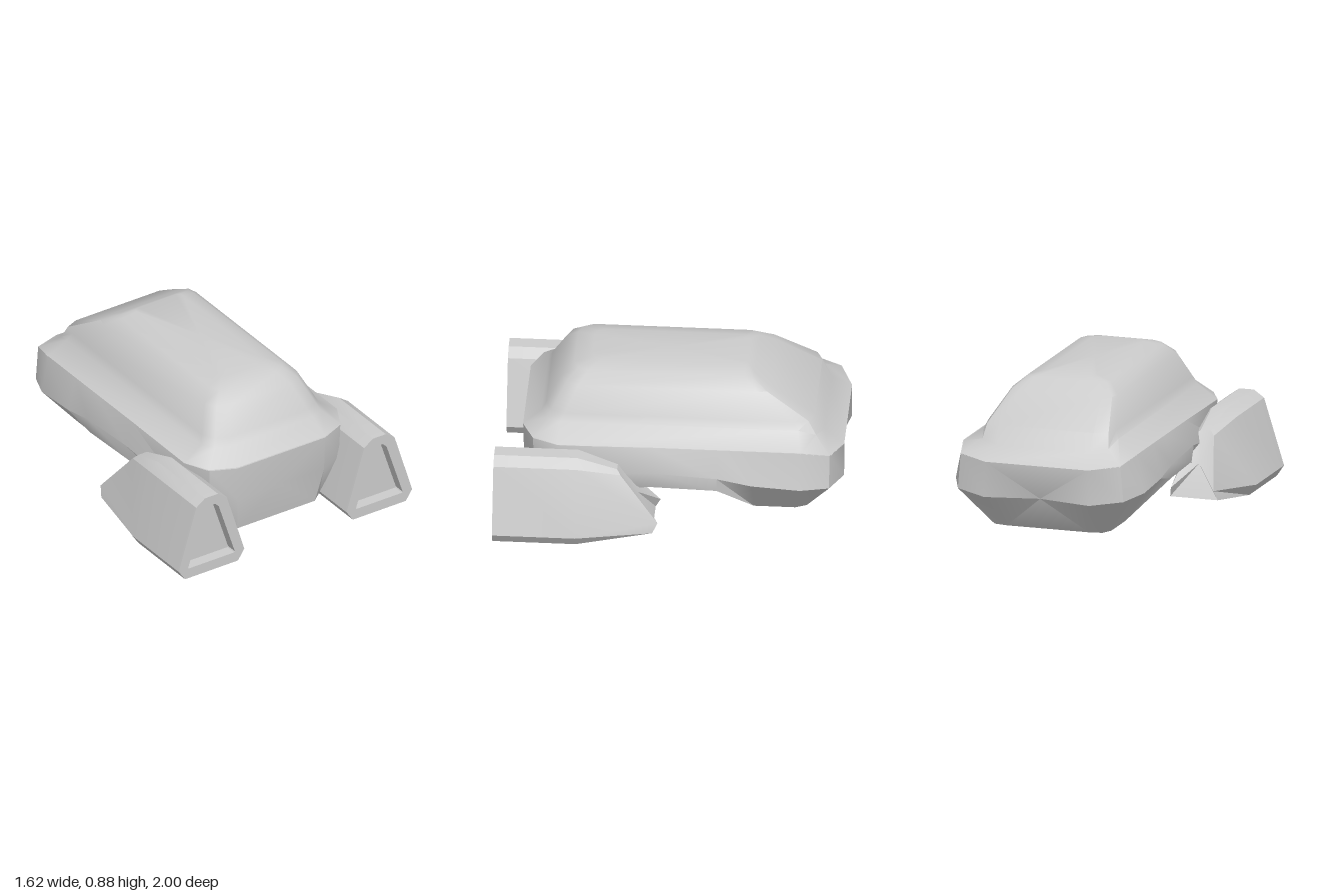
import * as THREE from 'three';
import { toCreasedNormals } from 'three/addons/utils/BufferGeometryUtils.js';

// Skin a row of equal-length closed sections ([x, y, z] points) and cap both ends.
function loft(sections, crease = 0.6) {
  const n = sections[0].length;
  const pos = sections.flat(2);
  const index = [];
  for (let s = 0; s < sections.length - 1; s++) {
    for (let i = 0; i < n; i++) {
      const a = s * n + i, b = s * n + (i + 1) % n;
      index.push(a, b, b + n, a, b + n, a + n);
    }
  }
  [0, sections.length - 1].forEach((s, end) => {
    const mid = [0, 1, 2].map(k => sections[s].reduce((t, p) => t + p[k], 0) / n);
    const c = pos.length / 3;
    pos.push(...mid);
    for (let i = 0; i < n; i++) {
      const a = s * n + i, b = s * n + (i + 1) % n;
      if (end) index.push(a, b, c); else index.push(b, a, c);
    }
  });
  // turn the faces outward
  const v = i => new THREE.Vector3().fromArray(pos, i * 3);
  let volume = 0;
  for (let t = 0; t < index.length; t += 3) {
    volume += v(index[t]).dot(v(index[t + 1]).cross(v(index[t + 2])));
  }
  if (volume < 0) index.reverse();
  const g = new THREE.BufferGeometry();
  g.setAttribute('position', new THREE.Float32BufferAttribute(pos, 3));
  g.setIndex(index);
  return toCreasedNormals(g, crease);
}

// Close a half outline by mirroring it in x.
const mirror = half => [...half, ...half.map(([x, y, z]) => [-x, y, z]).reverse()];

// Horizontal rounded-corner outline: half width, front z, back z, corner sizes, heights.
function ring(x, zf, zb, cf, cb, y, yb = y) {
  return mirror([
    [x - cf, y, zf], [x - cf * 0.33, y, zf - cf * 0.3], [x, y, zf - cf * 0.95],
    [x, y, zb + cb * 1.1], [x - cb * 0.2, (y + 2 * yb) / 3, zb + cb * 0.33], [x - cb, yb, zb],
  ]);
}

export function createModel() {
  const group = new THREE.Group();
  const material = new THREE.MeshStandardMaterial({ color: 0xcccccc });
  const add = (name, geometry) => {
    const mesh = new THREE.Mesh(geometry, material);
    mesh.name = name;
    group.add(mesh);
  };

  // Lower hull, front to back: rim, bulge and bottom point of each half section
  const hull = [
    [[0.305, 0.515, 0.855], [0.3, 0.3, 0.85], [0.27, 0.07, 0.8]],
    [[0.455, 0.515, 0.788], [0.45, 0.3, 0.78], [0.34, 0.07, 0.74]],
    [[0.53, 0.52, 0.64], [0.525, 0.3, 0.63], [0.37, 0.07, 0.62]],
    [[0.53, 0.525, 0.1], [0.575, 0.38, 0.1], [0.555, 0.275, 0.12]],
    [[0.53, 0.525, -0.28], [0.578, 0.36, -0.28], [0.57, 0.275, -0.28]],
    [[0.53, 0.525, -0.48], [0.578, 0.32, -0.48], [0.36, 0.05, -0.48]],
    [[0.53, 0.525, -0.76], [0.575, 0.3, -0.76], [0.36, 0.05, -0.72]],
    [[0.487, 0.49, -0.928], [0.505, 0.28, -0.925], [0.33, 0.05, -0.785]],
    [[0.315, 0.47, -1], [0.32, 0.26, -1], [0.25, 0.05, -0.8]],
  ];
  add('lowerHull', loft(hull.map(mirror), 0.62));

  // Cabin, from the rim up to the flat roof
  add('cabin', loft([
    ring(0.53, 0.855, -1, 0.225, 0.215, 0.522, 0.47),
    ring(0.41, 0.75, -0.885, 0.12, 0.13, 0.605, 0.545),
    ring(0.39, 0.725, -0.83, 0.12, 0.1, 0.65),
    ring(0.32, 0.64, -0.575, 0.11, 0.07, 0.8),
    ring(0.25, 0.57, -0.475, 0.09, 0.05, 0.86),
    ring(0.16, 0.47, -0.43, 0.06, 0.03, 0.885),
  ], 0.66));

  // Front pods: recess floor, recess lip, front face, straight body, tapered tail
  const centre = 0.583;
  const recess = [[0.024, 0.44], [0.05, 0.415], [0.162, 0.07], [0.157, 0.064]];
  const outer = [[0.045, 0.5], [0.106, 0.457], [0.228, 0.065], [0.184, 0]];
  const at = (half, z) => half.map(([x, y]) => [x, y, z]);
  const tail = [[0.03, 0.425, 0.29], [0.055, 0.4, 0.27], [0.13, 0.13, 0.05], [0.145, 0.07, 0.08]];
  const podSections = [at(recess, 0.93), at(recess, 1), at(outer, 1), at(outer, 0.52), tail];
  for (const [name, side] of [['leftPod', 1], ['rightPod', -1]]) {
    add(name, loft(podSections.map(half =>
      mirror(half).map(([x, y, z]) => [side * centre + x, y, z])), 0.4));
  }
  return group;
}
